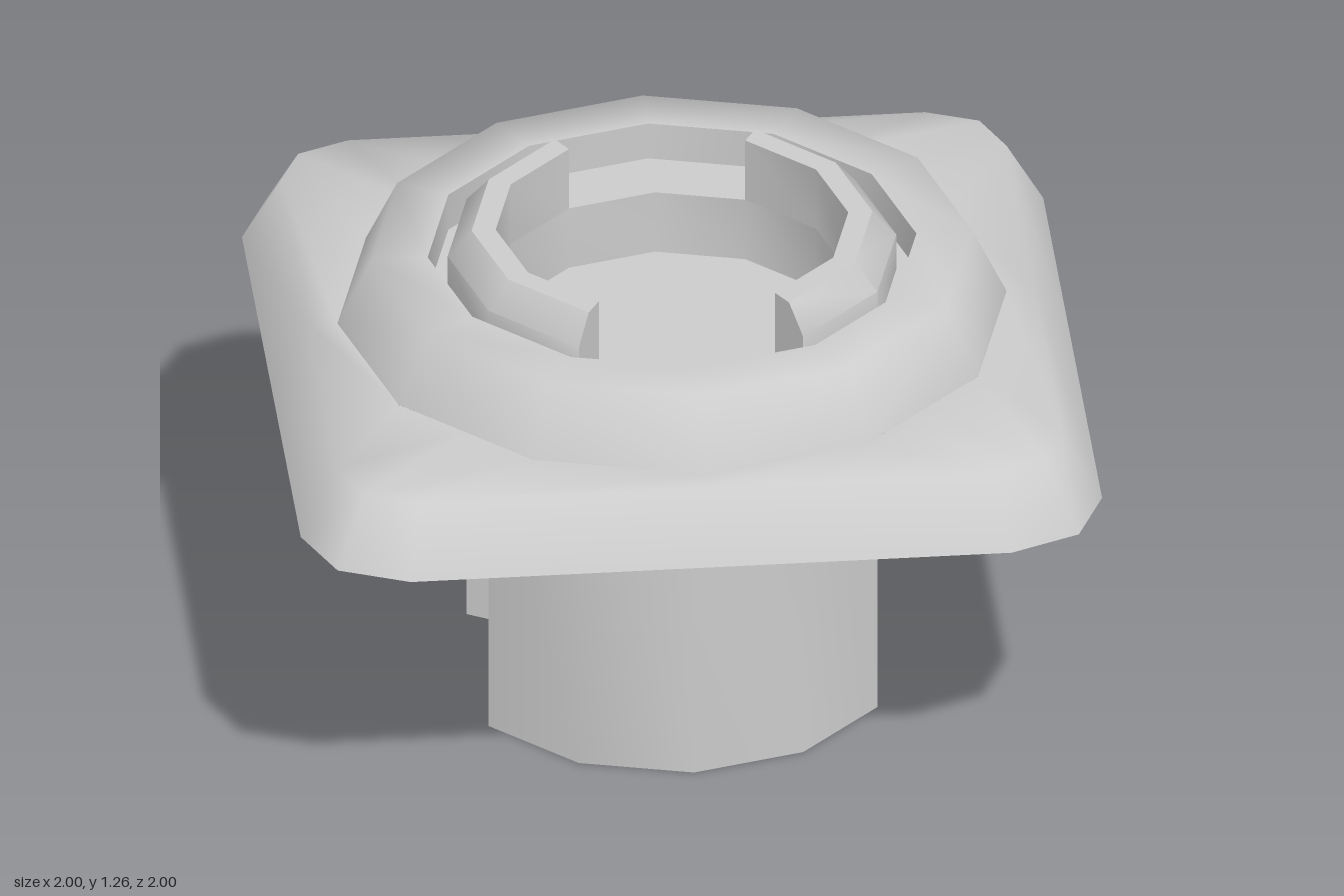
import * as THREE from 'three';
import { mergeGeometries, toCreasedNormals } from 'three/addons/utils/BufferGeometryUtils.js';

const STEP = Math.PI / 6; // everything round is twelve-sided
const material = new THREE.MeshStandardMaterial({ color: 0xcccccc, side: THREE.DoubleSide });

const points = (list) => list.map(([r, y]) => new THREE.Vector2(r, y));

// Full turn of an [r, y] profile
function turned(profile) {
  return toCreasedNormals(new THREE.LatheGeometry(points(profile), 12), 0.7);
}

// Solid partial ring: closed [r, y] section swept over four sides, capped at both ends
function arc(section, start) {
  const sweep = 4 * STEP;
  const body = new THREE.LatheGeometry(points([...section, section[0]]), 4, start, sweep);
  const caps = [start, start + sweep].map((phi, i) => {
    const cap = new THREE.ShapeGeometry(new THREE.Shape(points(section)));
    if (i === 1) cap.index.array.reverse();
    return cap.rotateY(phi - Math.PI / 2);
  });
  return toCreasedNormals(mergeGeometries([body, ...caps]), 0.7);
}

// Smooth skin through closed rings of equal point count, listed from the outside in
function loft(rings) {
  const n = rings[0].length, index = [];
  for (let k = 0; k < rings.length - 1; k++) {
    for (let i = 0; i < n; i++) {
      const j = (i + 1) % n;
      const a = k * n + i, b = k * n + j, c = a + n, d = b + n;
      index.push(a, c, b, b, c, d);
    }
  }
  const geometry = new THREE.BufferGeometry();
  geometry.setAttribute('position', new THREE.Float32BufferAttribute(rings.flat(2), 3));
  geometry.setIndex(index);
  geometry.computeVertexNormals();
  return geometry;
}

// Repeat one quadrant of [x, z] points around the y axis
function quadrants(quarter, y) {
  const ring = [];
  for (let q = 0; q < 4; q++) {
    const c = Math.round(Math.cos(q * Math.PI / 2)), s = Math.round(Math.sin(q * Math.PI / 2));
    for (const [x, z] of quarter) ring.push([x * c - z * s, y, x * s + z * c]);
  }
  return ring;
}

export function createModel() {
  const group = new THREE.Group();
  const add = (name, geometry) => {
    const mesh = new THREE.Mesh(geometry, material);
    mesh.name = name;
    group.add(mesh);
  };

  // Thin square skirt with blunted corners and a twelve-sided opening
  const outer = [[1, 0], [1, 0.75], [0.925, 0.925], [0.75, 1]];
  const inner = [[0.905, 0], [0.905, 0.72], [0.85, 0.85], [0.72, 0.905]];
  const opening = [[0.835, 0], [0.723, 0.418], [0.57, 0.57], [0.418, 0.723]];
  add('squareSkirt', loft([quadrants(outer, 0.84), quadrants(inner, 1.013), quadrants(opening, 1.013)]));

  // Raised collar: sloped side running smoothly into a flat rim
  const circle = (r, y) => Array.from({ length: 12 },
    (_, i) => [r * Math.cos(i * STEP), y, r * Math.sin(i * STEP)]);
  add('raisedCollar', loft([circle(0.835, 1.013), circle(0.75, 1.19), circle(0.61, 1.19)]));

  // Cup below the collar: outer wall with underside, then inner ledge and floor
  add('cupShell', turned([[0, 0.88], [0.61, 0.88], [0.61, 1.19]]));
  add('cupLedgeAndFloor', turned([[0.61, 1.09], [0.44, 1.09], [0.44, 0.92], [0, 0.92]].reverse()
    .reverse()));

  // Two chamfered lips on the left and right, two curved legs at the front and back
  const lip = [[0.44, 1.09], [0.56, 1.09], [0.56, 1.19], [0.5, 1.26], [0.44, 1.26]];
  const leg = [[0.44, 0], [0.56, 0], [0.56, 0.88], [0.44, 0.88]];
  add('leftLip', arc(lip, STEP));
  add('rightLip', arc(lip, 7 * STEP));
  add('frontLeg', arc(leg, -2 * STEP));
  add('backLeg', arc(leg, 4 * STEP));

  return group;
}
